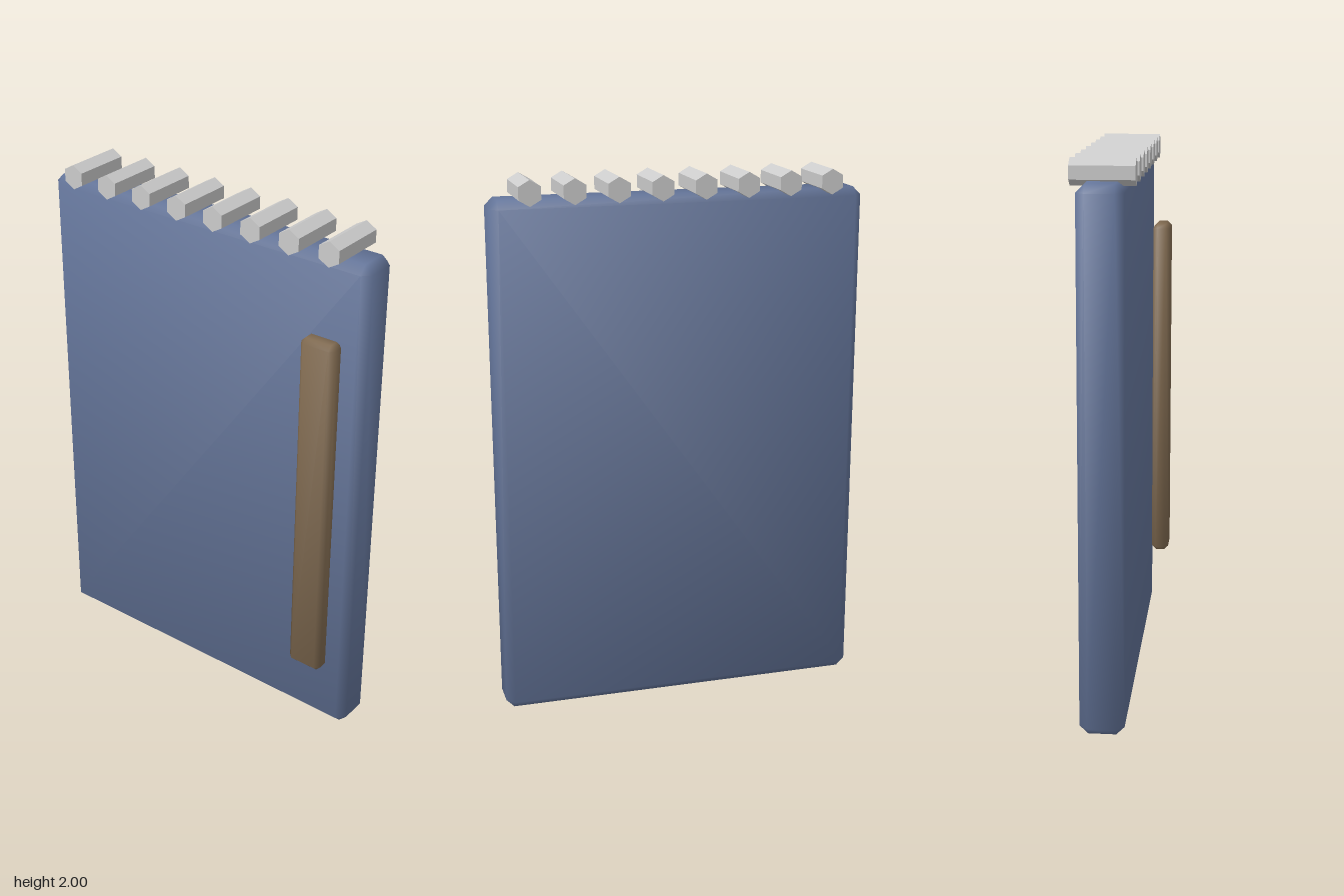
import * as THREE from 'three';
import { ConvexGeometry } from 'three/addons/geometries/ConvexGeometry.js';

// Box with one-step bevels and normals blended softly across its edges
function bevelledBox(width, height, depth, bevel) {
  const half = [width / 2, height / 2, depth / 2];
  const points = [];
  for (const sx of [-1, 1]) for (const sy of [-1, 1]) for (const sz of [-1, 1]) {
    for (let axis = 0; axis < 3; axis++) {
      const [x, y, z] = half.map((h, i) => (i === axis ? h : h - bevel));
      points.push(new THREE.Vector3(sx * x, sy * y, sz * z));
    }
  }
  const geometry = new ConvexGeometry(points);
  const position = geometry.attributes.position;
  const normal = geometry.attributes.normal;
  for (let i = 0; i < position.count; i++) {
    const p = [position.getX(i), position.getY(i), position.getZ(i)];
    const n = p.map((v, k) => Math.sign(v) * (Math.abs(v) > half[k] - bevel / 2 ? 1 : 0.36));
    const v = new THREE.Vector3(...n).normalize();
    normal.setXYZ(i, v.x, v.y, v.z);
  }
  return geometry;
}

function addMesh(group, name, geometry, material, x, y, z) {
  const mesh = new THREE.Mesh(geometry, material);
  mesh.name = name;
  mesh.position.set(x, y, z);
  group.add(mesh);
}

export function createModel() {
  const model = new THREE.Group();
  model.name = 'notepad';
  const coverMaterial = new THREE.MeshStandardMaterial({ color: 0x64759a });
  const penMaterial = new THREE.MeshStandardMaterial({ color: 0x806a50 });
  const ringMaterial = new THREE.MeshStandardMaterial({ color: 0xcccccc, flatShading: true });

  // Thick pad of pages with its cover
  addMesh(model, 'pad', bevelledBox(0.16, 1.926, 1.374, 0.03), coverMaterial, 0.022, 0.963, 0);

  // Pencil floating beside the pad
  addMesh(model, 'pencil', bevelledBox(0.068, 1.37, 0.136, 0.017), penMaterial, -0.102, 0.966, 0.547);

  // Row of hexagonal binding bars along the top edge
  const bar = new THREE.CylinderGeometry(0.046, 0.046, 0.22, 6);
  bar.rotateY(Math.PI / 2).rotateZ(Math.PI / 2);
  const rings = new THREE.Group();
  rings.name = 'binding';
  for (let i = 0; i < 8; i++) {
    addMesh(rings, 'bindingRing', bar, ringMaterial, 0.022, 1.954, (i - 3.5) * 0.158);
  }
  model.add(rings);
  return model;
}
